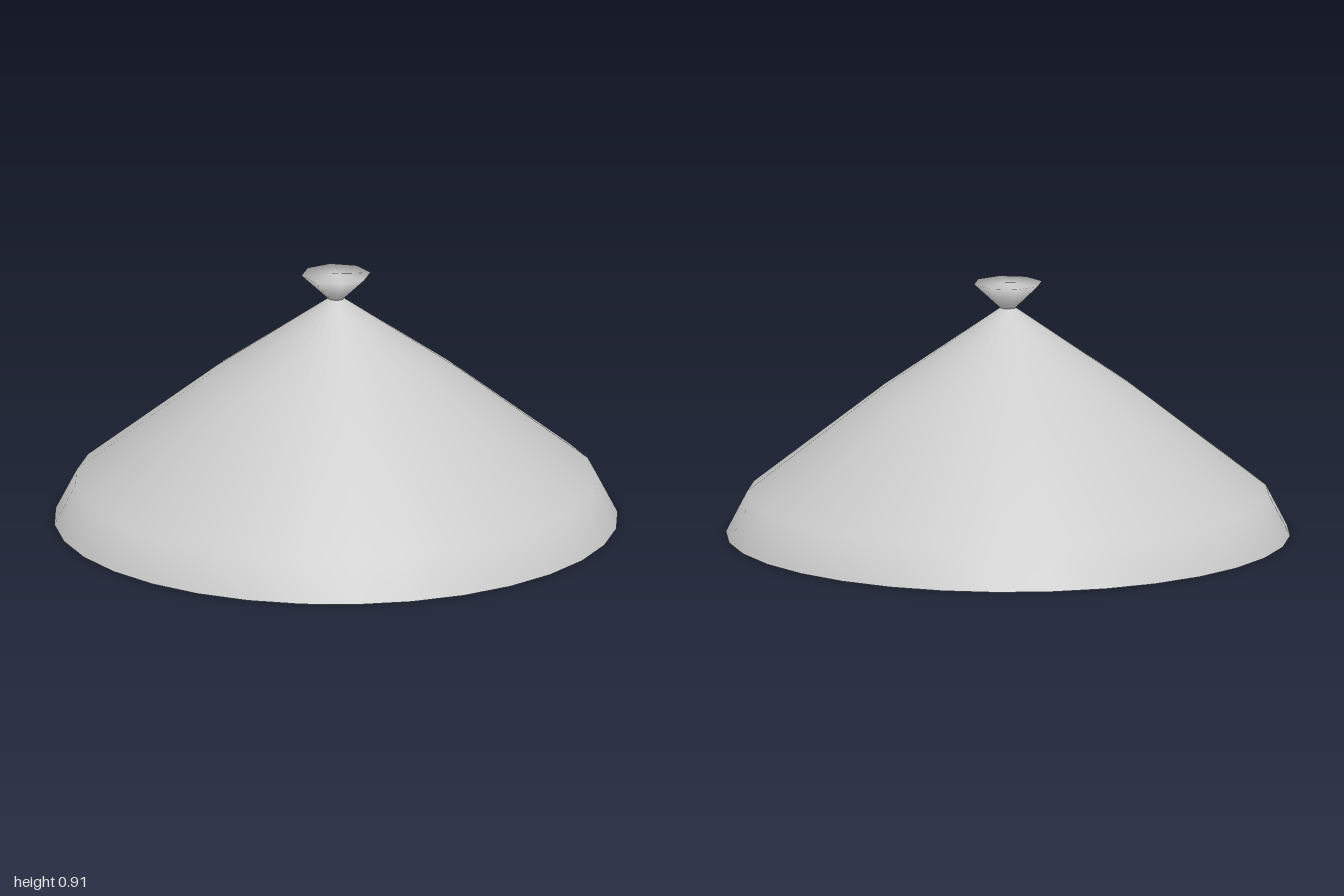
import * as THREE from 'three';

const material = new THREE.MeshStandardMaterial({ color: 0xcccccc, side: THREE.DoubleSide });

// Smooth surface of revolution from [radius, height] pairs, listed bottom to top
function turned(name, profile, sides, startAngle = 0) {
  const points = profile.map(([r, y]) => new THREE.Vector2(r, y));
  const mesh = new THREE.Mesh(new THREE.LatheGeometry(points, sides, startAngle), material);
  mesh.name = name;
  return mesh;
}

export function createModel() {
  const model = new THREE.Group();
  model.name = 'conicalCover';

  // Thin conical shell, open underneath, with a steeper rim
  model.add(turned('shell', [[1, 0], [0.925, 0.145], [0.45, 0.52], [0.025, 0.82]], 32));

  // Eight-sided flared knob with a flat, softly shaded top
  model.add(turned('knob', [[0.025, 0.815], [0.124, 0.908], [0, 0.908]], 8, 0.28));

  return model;
}
